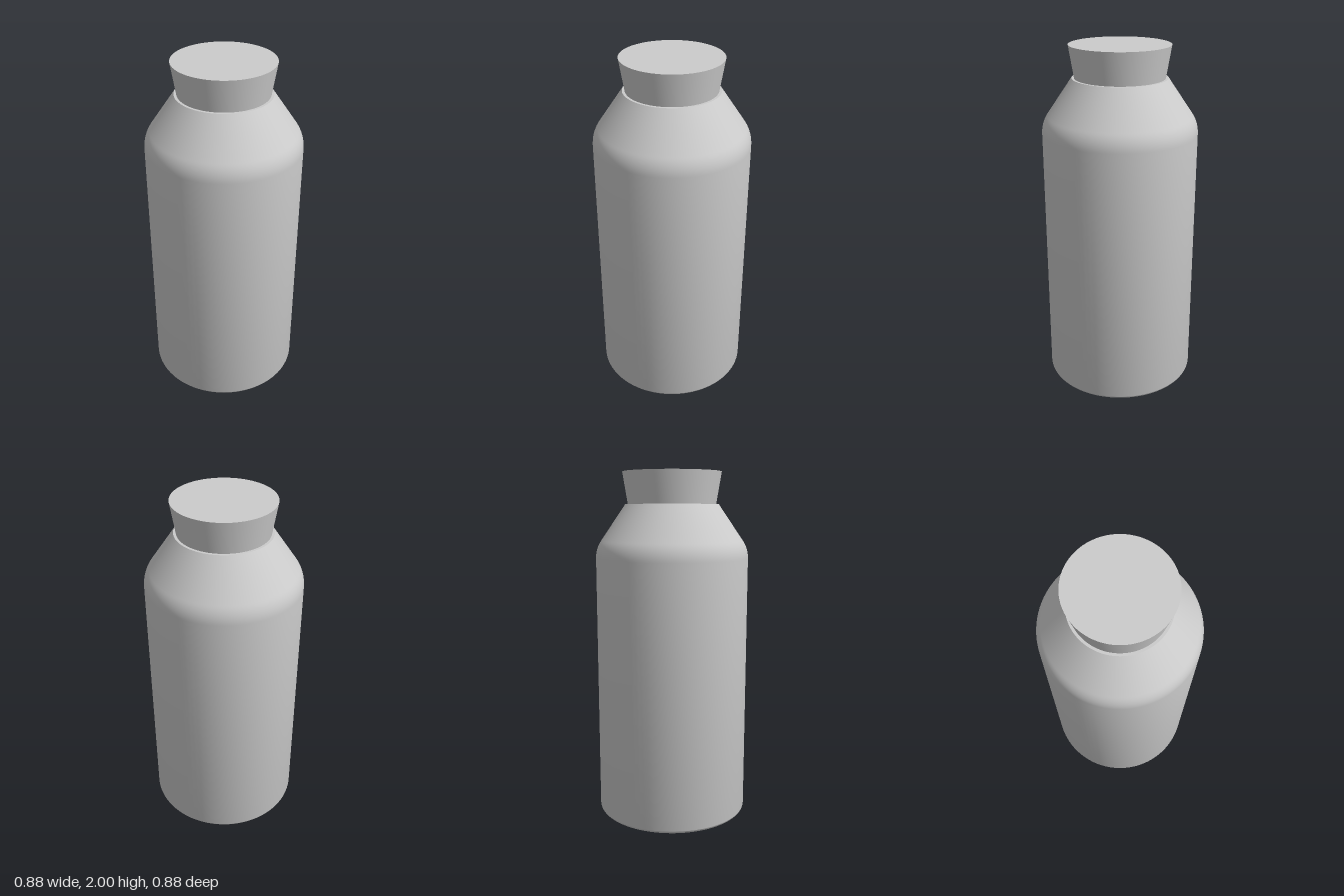
import * as THREE from 'three';
import { toCreasedNormals } from 'three/addons/utils/BufferGeometryUtils.js';

const material = new THREE.MeshStandardMaterial({ color: 0xcccccc });

// Revolve a path drawn from the bottom axis to the top axis
function turned(name, path) {
  const geometry = new THREE.LatheGeometry(path.getPoints(10), 96);
  const mesh = new THREE.Mesh(toCreasedNormals(geometry, 0.5), material);
  mesh.name = name;
  return mesh;
}

export function createModel() {
  const group = new THREE.Group();
  group.name = 'stopperedBottle';

  const radius = 0.438, fillet = 0.03, rimY = 1.82;

  // Bottle body: flat base, rounded foot, straight wall, soft shoulder, cone to the rim
  const body = new THREE.Path();
  body.moveTo(0, 0);
  body.lineTo(radius - fillet, 0);
  body.absarc(radius - fillet, fillet, fillet, -Math.PI / 2, 0, false);
  body.lineTo(radius, 1.515);
  body.quadraticCurveTo(radius, 1.571, 0.407, 1.615);
  body.lineTo(0.267, rimY);
  // Rim and the seat under the stopper
  body.lineTo(0.25, rimY);
  body.lineTo(0, rimY);
  group.add(turned('bottleBody', body));

  // Tapered stopper, wider at the top
  const stopper = new THREE.Path();
  stopper.moveTo(0, rimY - 0.02);
  stopper.lineTo(0.249, rimY - 0.02);
  stopper.lineTo(0.282, 2);
  stopper.lineTo(0, 2);
  group.add(turned('stopper', stopper));

  return group;
}
